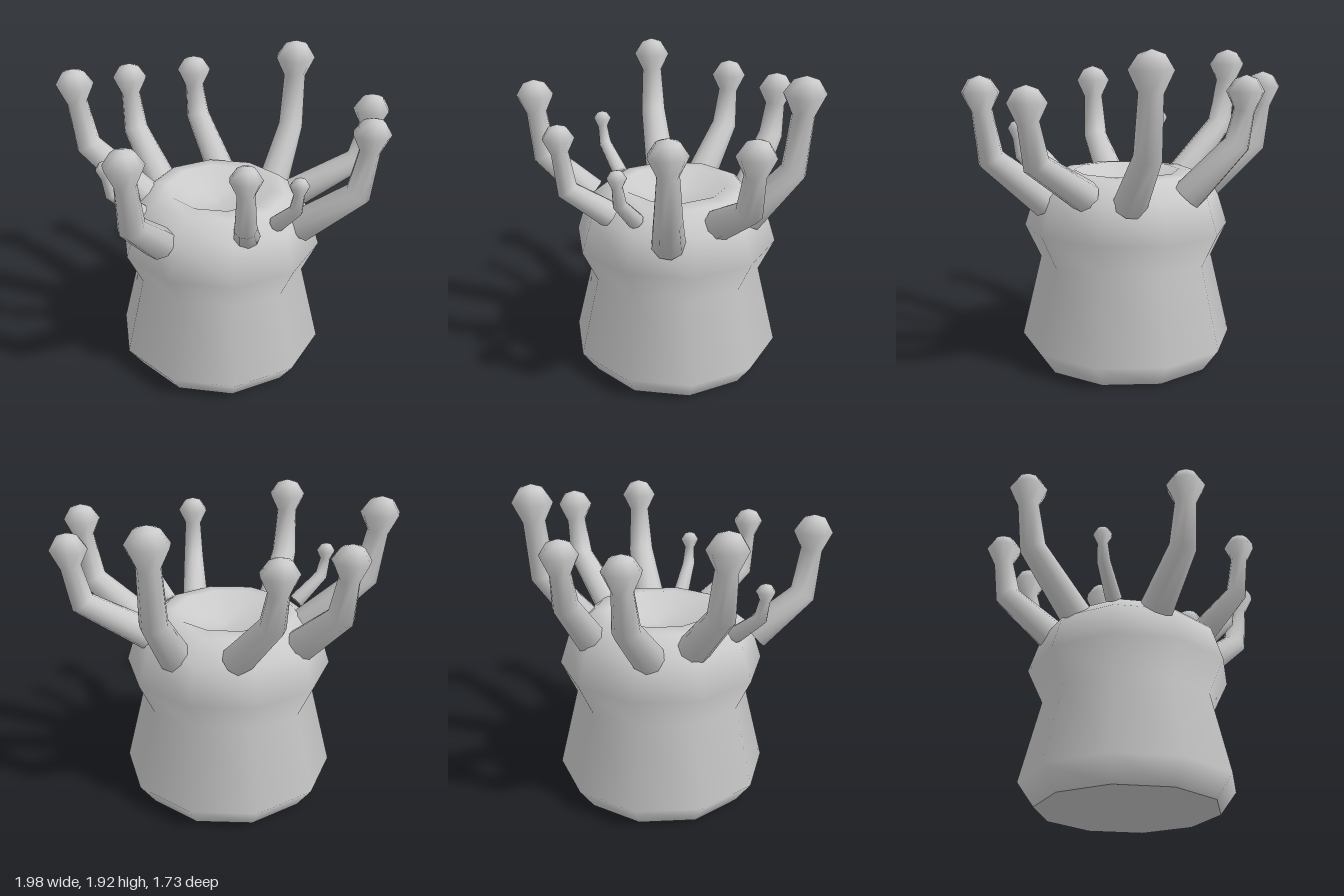
import * as THREE from 'three';

const material = new THREE.MeshStandardMaterial({ color: 0xcccccc, side: THREE.DoubleSide });
const SIDES = 10;

// Skins a list of { p, r, t } rings (centre, radius, tangent), closed by a point at each end
function skin(rings, side, start, end, n = 9) {
  const pos = [], index = [];
  for (const { p, r, t } of rings) {
    const other = new THREE.Vector3().crossVectors(t, side).normalize();
    for (let i = 0; i < n; i++) {
      const a = (i / n) * Math.PI * 2;
      const v = p.clone().addScaledVector(side, r * Math.cos(a)).addScaledVector(other, r * Math.sin(a));
      pos.push(v.x, v.y, v.z);
    }
  }
  pos.push(...start.toArray(), ...end.toArray());
  const s = rings.length * n, e = s + 1, last = (rings.length - 1) * n;
  for (let i = 0; i < n; i++) {
    const j = (i + 1) % n;
    for (let k = 0; k < last; k += n) index.push(k + i, k + j, k + n + j, k + i, k + n + j, k + n + i);
    index.push(s, j, i, e, last + i, last + j);
  }
  const g = new THREE.BufferGeometry();
  g.setAttribute('position', new THREE.Float32BufferAttribute(pos, 3));
  g.setIndex(index);
  g.computeVertexNormals();
  return g;
}

// A bent arm: sloping root, elbow, upright neck and a knobbed tip
function tentacle(base, tip, top, elbowY, r, rootR) {
  const b = new THREE.Vector3(...base);
  const along = (f, y) => new THREE.Vector3(
    THREE.MathUtils.lerp(b.x, tip[0], f), y, THREE.MathUtils.lerp(b.z, tip[1], f));
  const elbow = along(0.87, elbowY);
  const neck = along(0.985, top - 1.8 * r);
  const head = along(1, top - 0.85 * r);
  const crown = along(1.01, top - 0.2 * r);
  const apex = along(1.01, top);
  const low = elbow.clone().sub(b).normalize();
  const high = neck.clone().sub(elbow).normalize();
  const up = new THREE.Vector3(0, 1, 0);
  const side = new THREE.Vector3(tip[1] - b.z, 0, b.x - tip[0]).normalize();
  const rings = [
    { p: b, r: rootR, t: low },
    { p: elbow, r: rootR * 0.8, t: low.clone().add(high).normalize() },
    { p: neck, r: r * 0.55, t: high },
    { p: head, r, t: up },
    { p: crown, r: r * 0.58, t: up },
  ];
  return new THREE.Mesh(skin(rings, side, b, apex), material);
}

export function createModel() {
  const group = new THREE.Group();

  // Ten-sided trunk with a waist, a rounded shoulder and a dished top
  const profile = [
    [0.55, 0], [0.65, 0.14], [0.53, 0.64], [0.625, 0.84], [0.555, 1.06],
    [0.42, 1.17], [0.32, 1.18], [0.18, 1.1], [0, 1.08],
  ].map(([x, y]) => new THREE.Vector2(x, y));
  const body = new THREE.Group();
  body.name = 'body';
  body.position.set(-0.01, 0, -0.065);
  const trunk = new THREE.Mesh(new THREE.LatheGeometry(profile, SIDES, Math.PI / 2), material);
  trunk.name = 'trunk';
  const foot = new THREE.Mesh(new THREE.CircleGeometry(0.55, SIDES).rotateX(Math.PI / 2), material);
  foot.name = 'footDisc';
  body.add(trunk, foot);
  group.add(body);

  // Tentacles: root, tip x and z, top height, elbow height, knob radius, root radius
  const arms = [
    [[-0.45, 1.07, -0.05], [-0.88, -0.05], 1.89, 1.41, 0.115, 0.1],
    [[-0.43, 1.06, -0.31], [-0.68, -0.54], 1.77, 1.34, 0.11, 0.1],
    [[-0.08, 1.07, -0.53], [-0.3, -0.76], 1.77, 1.38, 0.11, 0.095],
    [[0.28, 1.05, -0.45], [0.37, -0.73], 1.92, 1.36, 0.125, 0.1],
    [[0.44, 1.09, -0.25], [0.87, -0.33], 1.74, 1.32, 0.11, 0.095],
    [[0.5, 1.02, 0.06], [0.88, 0.125], 1.77, 1.3, 0.11, 0.1],
    [[0.38, 1.12, 0.23], [0.51, 0.345], 1.48, 1.27, 0.057, 0.05],
    [[0.22, 1.1, 0.36], [0.25, 0.64], 1.67, 1.28, 0.092, 0.08],
    [[-0.28, 1.04, 0.43], [-0.37, 0.75], 1.77, 1.29, 0.115, 0.1],
    [[-0.43, 1.12, 0.23], [-0.61, 0.32], 1.48, 1.27, 0.057, 0.05],
  ];
  arms.forEach((arm, i) => {
    const mesh = tentacle(...arm);
    mesh.name = `tentacle${i + 1}`;
    group.add(mesh);
  });
  return group;
}
